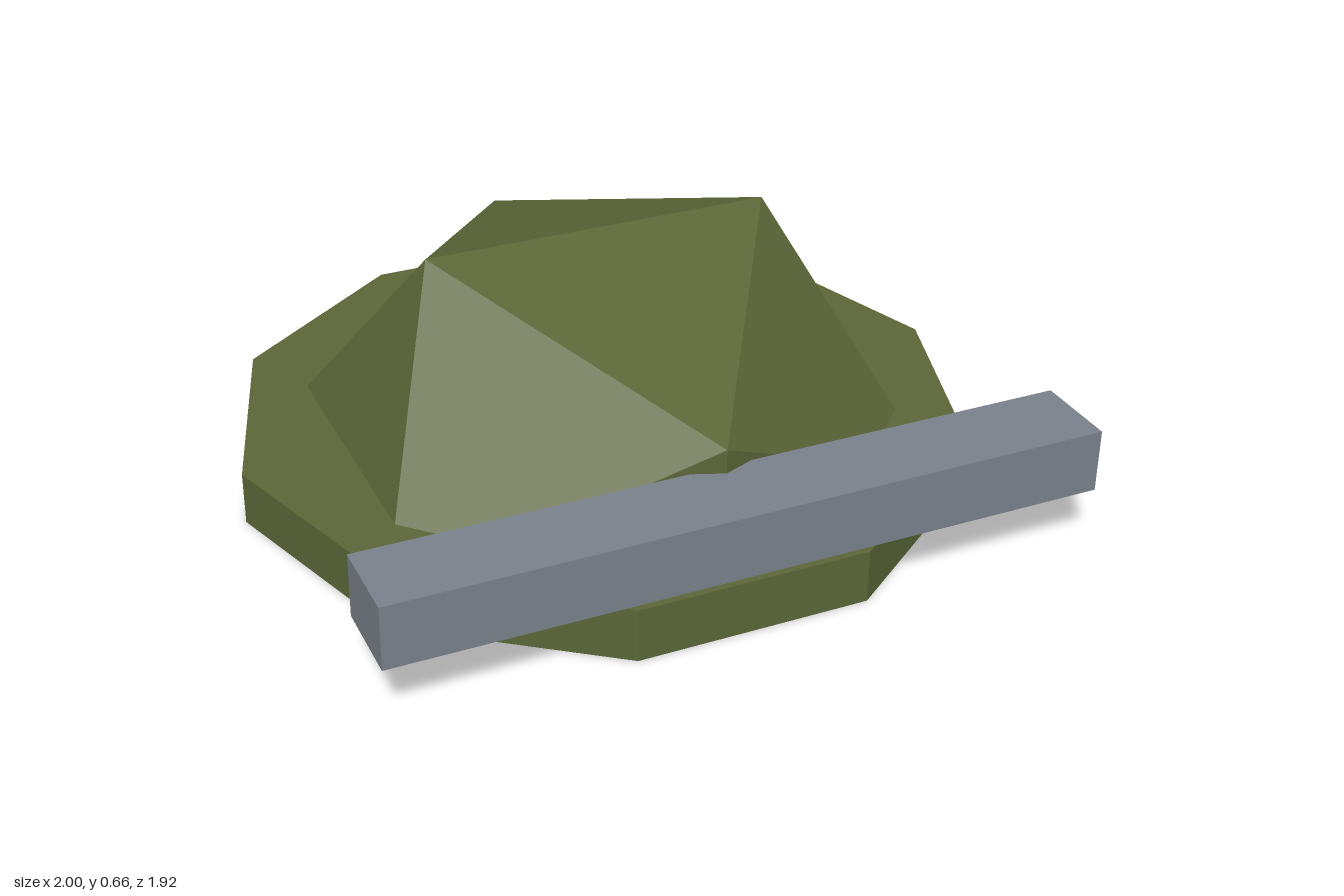
import * as THREE from 'three';

export function createModel() {
  const model = new THREE.Group();
  const olive = new THREE.MeshStandardMaterial({ color: 0x5b6637, flatShading: true });
  olive.name = 'olive green';
  const grey = new THREE.MeshStandardMaterial({ color: 0x7a818a, flatShading: true });
  grey.name = 'steel grey';

  const add = (name, geometry, material, x, y, z) => {
    const mesh = new THREE.Mesh(geometry, material);
    mesh.name = name;
    mesh.position.set(x, y, z);
    model.add(mesh);
  };

  // ten-sided brim, with corners pointing to +x and -x
  const brim = new THREE.CylinderGeometry(1, 1, 0.145, 10);
  brim.rotateY(Math.PI / 2);
  add('brim', brim, olive, 0, 0.0725, -0.013);

  // faceted dome: upper half of a flattened icosahedron, its base hidden in the brim
  const dome = new THREE.IcosahedronGeometry(0.913, 0);
  dome.scale(1, 0.844, 1);
  const p = dome.attributes.position;
  for (let i = 0; i < p.count; i++) p.setY(i, Math.max(p.getY(i), 0));
  dome.computeVertexNormals();
  add('dome', dome, olive, 0, 0.005, -0.013);

  // straight bar across the front
  add('frontBar', new THREE.BoxGeometry(1.884, 0.17, 0.226), grey, 0, 0.26, 0.845);

  return model;
}
